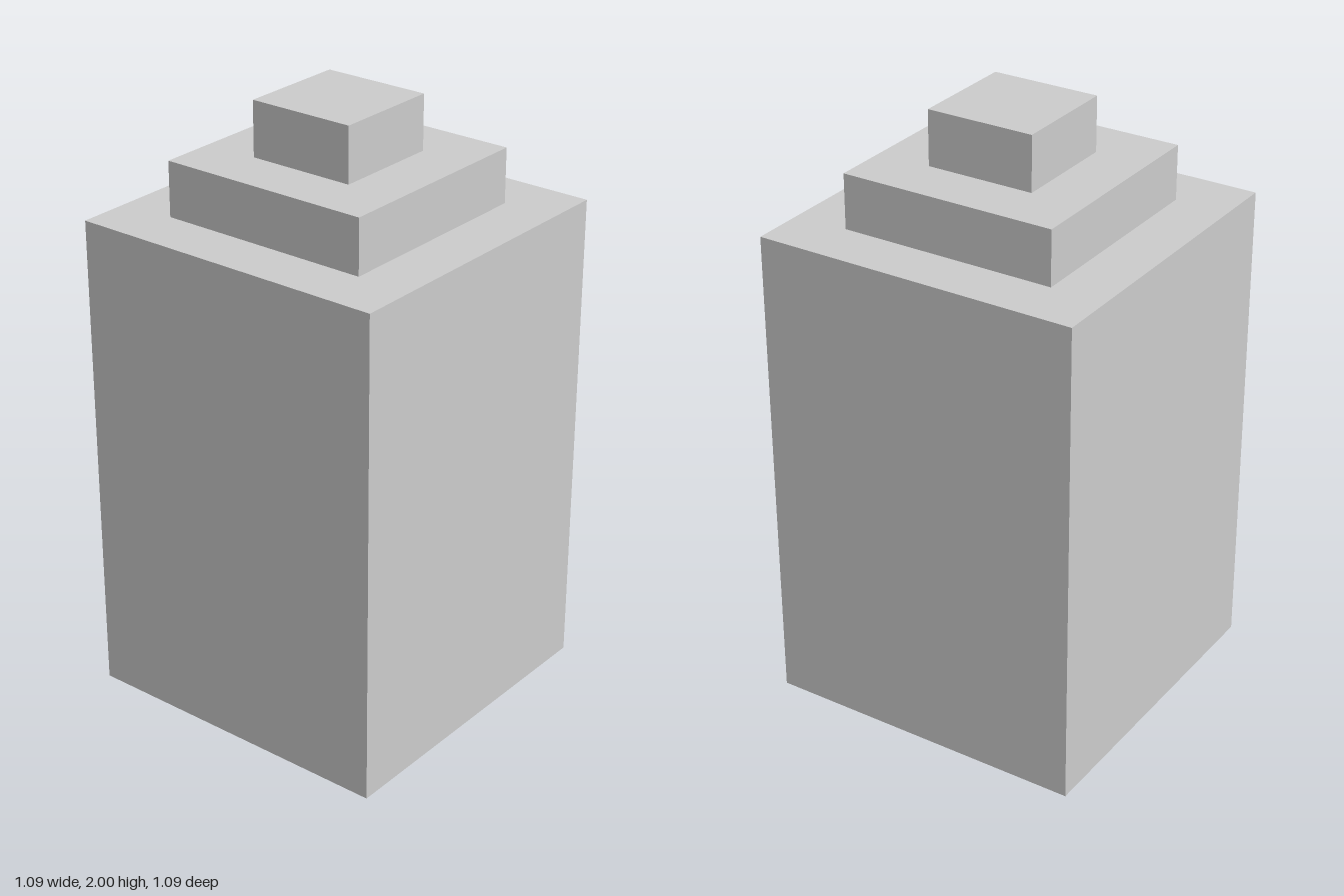
import * as THREE from 'three';

// Stepped tower on a square plan; sizes are multiples of one module
const UNIT = 2 / 11;

export function createModel() {
  const group = new THREE.Group();
  group.name = 'steppedTower';
  const material = new THREE.MeshStandardMaterial({ color: 0xcccccc, flatShading: true });

  // Tiers from the ground up: name, width, height (in modules)
  const tiers = [
    ['towerBody', 6, 9],
    ['middleStep', 4, 1],
    ['topStep', 2, 1],
  ];

  let base = 0;
  for (const [name, width, height] of tiers) {
    const tier = new THREE.Mesh(
      new THREE.BoxGeometry(width * UNIT, height * UNIT, width * UNIT),
      material
    );
    tier.name = name;
    tier.position.y = (base + height / 2) * UNIT;
    group.add(tier);
    base += height;
  }
  return group;
}
